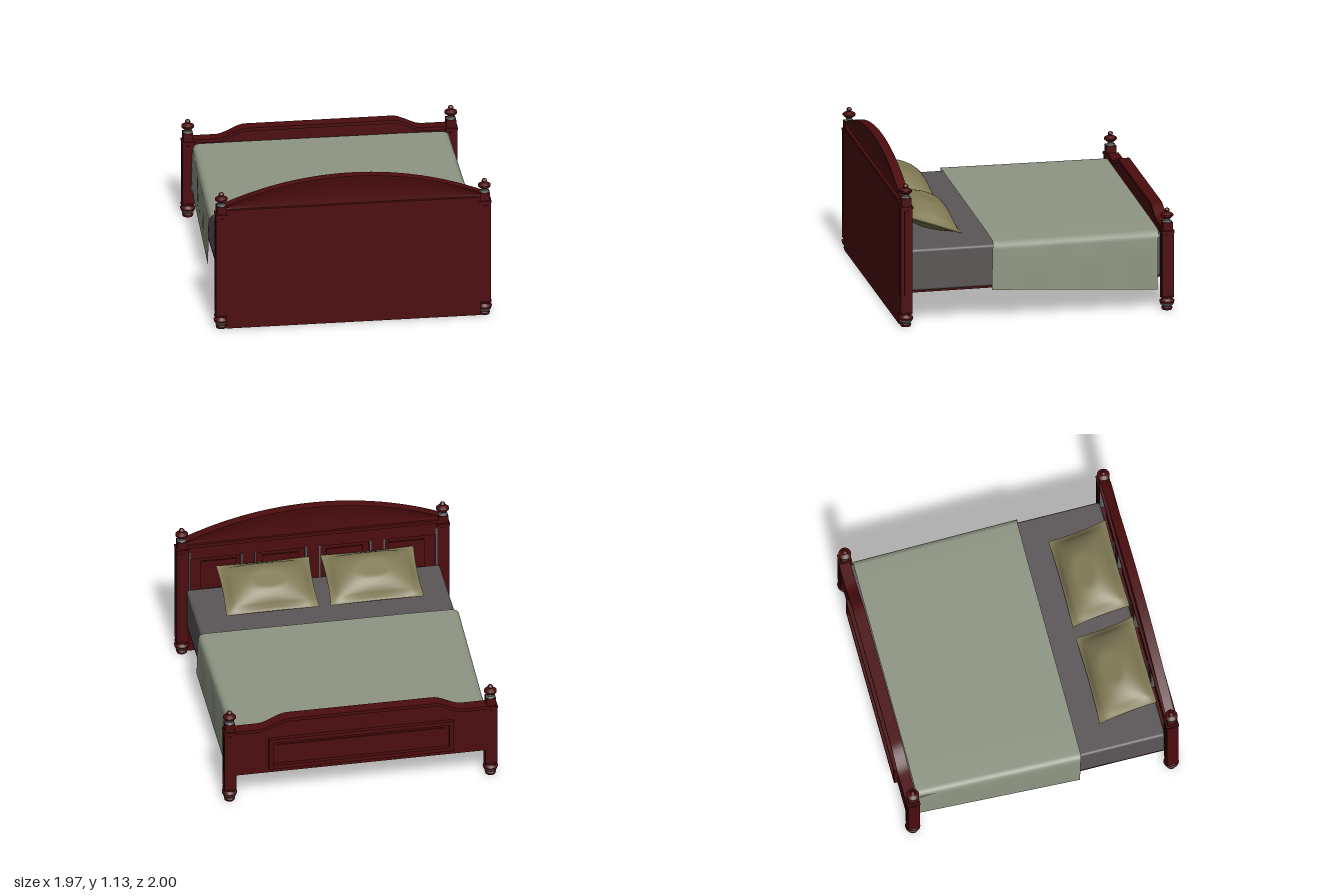
import * as THREE from 'three';
import { toCreasedNormals } from 'three/addons/utils/BufferGeometryUtils.js';
import { RoundedBoxGeometry } from 'three/addons/geometries/RoundedBoxGeometry.js';

const mat = (name, color, side = THREE.FrontSide) => {
  const m = new THREE.MeshStandardMaterial({ color, side });
  m.name = name;
  return m;
};

export function createModel() {
  const wood = mat('mahogany', 0x4c0c0e);
  const grey = mat('grey trim', 0x5a5c5c);
  const sheet = mat('mattress grey', 0x5b5657);
  const cloth = mat('blanket green', 0x8f9683, THREE.DoubleSide);
  const linen = mat('pillow khaki', 0x807a55);

  const bed = new THREE.Group();
  bed.name = 'bed';
  const add = (parent, name, geo, material, x = 0, y = 0, z = 0) => {
    const m = new THREE.Mesh(geo, material);
    m.name = name;
    m.position.set(x, y, z);
    parent.add(m);
    return m;
  };
  // box given by its extents
  const box = (parent, name, material, x0, x1, y0, y1, z0, z1) =>
    add(parent, name, new THREE.BoxGeometry(x1 - x0, y1 - y0, z1 - z0), material,
      (x0 + x1) / 2, (y0 + y1) / 2, (z0 + z1) / 2);
  const lathe = pts => toCreasedNormals(
    new THREE.LatheGeometry(pts.map(p => new THREE.Vector2(...p)), 20), 0.7);
  // grid whose vertices follow f(u, v), both from -1 to 1
  const grid = (nu, nv, f) => {
    const g = new THREE.PlaneGeometry(2, 2, nu, nv);
    const p = g.attributes.position;
    for (let i = 0; i < p.count; i++) p.setXYZ(i, ...f(p.getX(i), p.getY(i)));
    g.computeVertexNormals();
    return g;
  };

  // Posts with turned feet and finials
  const post = (name, x, z, top) => {
    const g = new THREE.Group();
    g.name = name;
    g.position.set(x, 0, z);
    bed.add(g);
    const w = 0.042;
    add(g, 'foot', lathe([[0, 0.005], [0.036, 0.005], [0.04, 0.02], [0.03, 0.028]]), wood);
    add(g, 'footRing', lathe([[0.03, 0.028], [0.045, 0.042], [0.05, 0.055]]), grey);
    add(g, 'footBulb', lathe([[0.05, 0.055], [0.054, 0.07], [0.04, 0.082], [0.036, 0.09],
      [0.05, 0.096], [0.05, 0.108], [0.036, 0.114], [0, 0.114]]), wood);
    box(g, 'shaft', wood, -w, w, 0.11, top - 0.06, -w, w);
    box(g, 'collar', wood, -w - 0.004, w + 0.004, top - 0.075, top - 0.06, -w - 0.004, w + 0.004);
    box(g, 'cap', wood, -0.035, 0.035, top - 0.06, top, -0.035, 0.035);
    for (let i = 0; i < 4; i++) {
      const side = new THREE.Group();
      side.name = 'shaftPanel';
      side.rotation.y = i * Math.PI / 2;
      g.add(side);
      box(side, 'panel', wood, -0.016, 0.016, 0.24, top - 0.09, w, w + 0.003);
    }
    add(g, 'finialNeck', lathe([[0.034, 0], [0.022, 0.01], [0.02, 0.022], [0.032, 0.03]]), grey, 0, top, 0);
    add(g, 'finial', lathe([[0.032, 0.03], [0.045, 0.042], [0.045, 0.054], [0.03, 0.064], [0.014, 0.072],
      [0.02, 0.083], [0.014, 0.094], [0, 0.102]]), wood, 0, top, 0);
  };
  for (const s of [-1, 1]) {
    const side = s > 0 ? 'left' : 'right';
    post(side + 'HeadPost', 0.932 * s, 0.945, 0.95);
    post(side + 'FootPost', 0.932 * s, -0.935, 0.65);
  }

  // Headboard: flat outer panel, framed inner side
  const head = new THREE.Group();
  head.name = 'headboard';
  bed.add(head);
  box(head, 'backPanel', wood, -0.9, 0.9, 0.01, 0.92, 0.94, 0.986);
  box(head, 'topRail', wood, -0.9, 0.9, 0.8, 0.9, 0.912, 0.94);
  box(head, 'lowerRail', wood, -0.9, 0.9, 0.2, 0.5, 0.912, 0.94);
  box(head, 'railMoulding', wood, -0.9, 0.9, 0.9, 0.925, 0.902, 0.99);
  for (const x of [-0.46, 0, 0.46]) {
    box(head, 'stile', wood, x - 0.045, x + 0.045, 0.5, 0.8, 0.915, 0.94);
    for (const s of [-1, 1]) {
      const c = x + s * 0.05;
      box(head, 'stileBead', grey, c - 0.006, c + 0.006, 0.5, 0.81, 0.908, 0.94);
    }
  }
  for (const s of [-1, 1]) {
    box(head, 'endBead', grey, s * 0.882 - 0.006, s * 0.882 + 0.006, 0.5, 0.86, 0.904, 0.94);
    for (const x of [0.23, 0.67])
      box(head, 'raisedPanel', wood, s * x - 0.13, s * x + 0.13, 0.53, 0.76, 0.928, 0.94);
  }

  // Arched crest, coved outwards towards its top: [z, height fraction]
  const cove = [[0.024, 0], [0.02, 0.3], [0.023, 0.6], [0.03, 0.88], [0.033, 0.93], [0.033, 1]];
  const section = [...cove, ...cove.map(([z, t]) => [-z, t]).reverse()];
  const crest = x => 1.135 - 2.34 + Math.sqrt(2.34 * 2.34 - x * x);
  add(head, 'archedCrest', toCreasedNormals(grid(40, section.length - 1, (u, v) => {
    const [z, t] = section[Math.round((v + 1) / 2 * (section.length - 1))];
    const x = u * 0.905;
    return [x, 0.922 + t * (crest(x) - 0.922), 0.945 + z];
  }), 0.6), wood);

  // Footboard with raised middle and curved shoulders
  const foot = new THREE.Group();
  foot.name = 'footboard';
  bed.add(foot);
  const topEdge = [];
  for (let i = 0; i <= 60; i++) {
    const x = -0.9 + i * 0.03;
    const k = THREE.MathUtils.smoothstep(Math.abs(x), 0.52, 0.73);
    topEdge.push([x, 0.67 - 0.07 * k]);
  }
  const extrude = (shape, depth) =>
    toCreasedNormals(new THREE.ExtrudeGeometry(shape, { depth, bevelEnabled: false }), 0.6);
  const shapeOf = pts => new THREE.Shape(pts.map(p => new THREE.Vector2(...p)));
  add(foot, 'board', extrude(shapeOf([[-0.9, 0.22], [0.9, 0.22], ...topEdge.slice().reverse()]), 0.055),
    wood, 0, 0, -0.97);
  add(foot, 'topMoulding', extrude(shapeOf([...topEdge.map(([x, y]) => [x, y - 0.025]),
    ...topEdge.slice().reverse()]), 0.082), wood, 0, 0, -0.986);
  const rect = (w, y0, y1) => [[-w, y0], [w, y0], [w, y1], [-w, y1]];
  const frame = shapeOf(rect(0.66, 0.26, 0.51));
  frame.holes.push(shapeOf(rect(0.63, 0.29, 0.48)));
  add(foot, 'panelMoulding', extrude(frame, 0.03), wood, 0, 0, -0.998);
  box(foot, 'innerPanel', wood, -0.6, 0.6, 0.32, 0.45, -0.978, -0.965);

  // Base and mattress
  box(bed, 'base', wood, -0.9, 0.9, 0.235, 0.25, -0.92, 0.94);
  add(bed, 'mattress', new RoundedBoxGeometry(1.81, 0.306, 1.82, 3, 0.02), sheet, 0, 0.398, 0);

  // Blanket draped over both sides: [x inset, y] from the shoulder inwards
  const fold = [[0.004, 0.4], [0.008, 0.52], [0.014, 0.548], [0.028, 0.566], [0.055, 0.574], [0.3, 0.576]];
  const n = fold.length + 1;
  add(bed, 'blanket', grid(2 * n, 24, (u, v) => {
    const i = Math.round((u + 1) * n), s = i <= n ? -1 : 1;
    const j = i <= n ? i : 2 * n - i;
    const t = (1 - v) / 2;                     // 0 at the foot, 1 at the open end
    const mix = THREE.MathUtils.lerp;
    const z = mix(mix(-0.91, 0.28, t), mix(-0.87, 0.325, t), (u + 1) / 2);
    const edge = s < 0 ? mix(0.912, 0.942, t) : mix(0.925, 0.938, t);
    const hem = s < 0 ? mix(0.24, 0.18, t) : mix(0.15, 0.23, t);
    if (j === n) return [0, 0.576, z];
    if (j === 0) return [s * edge, hem, z];
    const [inset, y] = fold[j - 1];
    const ripple = j === 1 ? 0.004 * Math.sin(t * 19) : 0;
    return [s * (edge - inset + ripple), y, z];
  }), cloth);

  // Pillows leaning on the headboard, with a flat seam border
  const pillow = (name, x, halfWidth) => {
    const g = new THREE.Group();
    g.name = name;
    g.position.set(x, 0.655, 0.692);
    g.rotation.x = -0.35;
    bed.add(g);
    const face = (up, height) => grid(28, 22, (u, v) => {
      const a = Math.max(0, 1 - (u / 0.94) ** 2), b = Math.max(0, 1 - (v / 0.92) ** 2);
      const flare = 1 + 0.035 * u * u * v * v;
      const h = height * Math.min(1, 1.15 * a ** 0.65 * b ** 0.65);
      const sag = 0.012 * (1 - u * u);
      return [u * halfWidth * flare, up * (h + 0.004) - (1 - v * v) * sag, -up * v * 0.214 * flare];
    });
    add(g, 'pillowTop', face(1, 0.12), linen);
    add(g, 'pillowUnderside', face(-1, 0.062), linen);
    // seam closing the rim
    add(g, 'pillowSeam', new THREE.BoxGeometry(halfWidth * 2, 0.008, 0.428), linen);
  };
  pillow('rightPillow', -0.383, 0.322);
  pillow('leftPillow', 0.363, 0.322);

  return bed;
}
